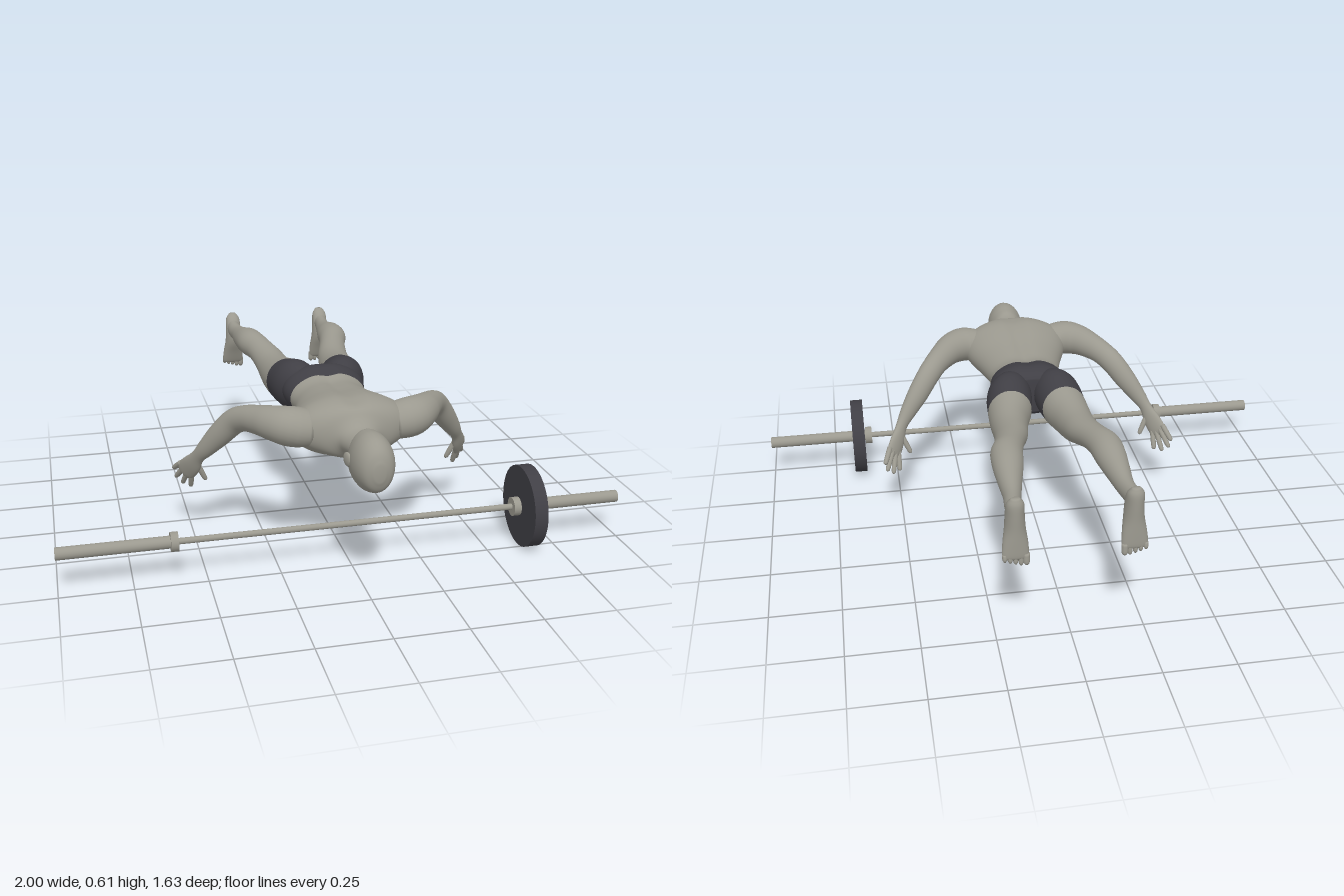
import * as THREE from 'three';

const V = (x, y, z) => new THREE.Vector3(x, y, z);

// Smooth closed loft. Rows are [x, y, z, radiusU, radiusV]; V lies along ref.
// Without a fixed dir the rings follow the path. paint = [first, last] row in material 1.
function loft(rows, { dir, ref = V(0, 1, 0), sides = 28, steps = 4, rule, paint } = {}) {
  const path = new THREE.CatmullRomCurve3(rows.map(r => V(r[0], r[1], r[2])), false, 'catmullrom');
  const size = new THREE.CatmullRomCurve3(rows.map(r => V(r[3], r[4], 0)), false, 'catmullrom');
  const n = (rows.length - 1) * steps, pos = [], idx = [];
  const add = p => { if (rule) rule(p); pos.push(p.x, p.y, p.z); };
  for (let i = 0; i <= n; i++) {
    const c = path.getPoint(i / n), s = size.getPoint(i / n);
    const t = dir || path.getTangent(i / n);
    const u = t.clone().cross(ref).normalize(), v = u.clone().cross(t).normalize();
    for (let j = 0; j < sides; j++) {
      const a = j / sides * Math.PI * 2;
      add(c.clone().addScaledVector(u, Math.cos(a) * s.x).addScaledVector(v, Math.sin(a) * s.y));
    }
  }
  const first = (n + 1) * sides, last = first + 1;
  add(path.getPoint(0));
  add(path.getPoint(1));
  const g = new THREE.BufferGeometry();
  const fan = (c, ring, flip) => {
    for (let j = 0; j < sides; j++) {
      const a = ring + j, b = ring + (j + 1) % sides;
      idx.push(c, flip ? b : a, flip ? a : b);
    }
  };
  const mat = row => (paint && row >= paint[0] && row < paint[1] ? 1 : 0);
  for (let i = 0; i < n; i++) {
    const start = idx.length;
    if (i === 0) fan(first, 0, false);
    for (let j = 0; j < sides; j++) {
      const a = i * sides + j, b = i * sides + (j + 1) % sides;
      idx.push(a, a + sides, b, b, a + sides, b + sides);
    }
    if (i === n - 1) fan(last, n * sides, true);
    g.addGroup(start, idx.length - start, mat(Math.floor(i / steps)));
  }
  g.setAttribute('position', new THREE.Float32BufferAttribute(pos, 3));
  g.setIndex(idx);
  g.computeVertexNormals();
  return g;
}

export function createModel() {
  const skin = new THREE.MeshStandardMaterial({ color: 0x9b998f });
  const dark = new THREE.MeshStandardMaterial({ color: 0x403f45 });
  skin.name = 'stoneGrey';
  dark.name = 'charcoal';
  const model = new THREE.Group();
  const add = (name, geo, mat = [skin, dark], parent = model) => {
    const m = new THREE.Mesh(geo, mat);
    m.name = name;
    parent.add(m);
    return m;
  };
  const back = V(0, 0, -1), down = V(0, -1, 0);

  // Torso, from neck to seat, with a spine furrow and a breastbone furrow
  add('torsoAndShorts', loft([
    [0, .495, .65, .05, .045], [0, .495, .60, .062, .05], [0, .50, .57, .08, .066],
    [0, .508, .545, .135, .087], [0, .512, .51, .185, .098], [0, .508, .46, .205, .108],
    [0, .503, .40, .19, .107], [0, .498, .32, .162, .098], [0, .496, .24, .14, .09],
    [0, .497, .19, .133, .086], [0, .502, .145, .138, .088], [0, .507, .08, .15, .096],
    [0, .505, .03, .14, .085], [0, .505, .01, .10, .065],
  ], {
    dir: back, sides: 48, paint: [10, 13],
    rule: p => {
      const furrow = Math.exp(-((p.x / .03) ** 2));
      const along = THREE.MathUtils.smoothstep(p.z, -.02, .2) * (1 - THREE.MathUtils.smoothstep(p.z, .48, .58));
      if (p.y > .52) p.y -= .014 * furrow * along;
      if (p.y < .46) p.y += .008 * furrow * along;
    },
  }));

  // Head, face down
  add('head', loft([
    [0, .475, .818, .018, .028], [0, .476, .802, .046, .066], [0, .48, .77, .063, .088],
    [0, .479, .73, .07, .098], [0, .476, .69, .068, .098], [0, .467, .65, .06, .094],
    [0, .445, .622, .045, .06], [0, .435, .608, .028, .036],
  ], {
    dir: back,
    // shallow eye sockets
    rule: p => {
      const d = ((Math.abs(p.x) - .027) / .014) ** 2 + ((p.z - .705) / .012) ** 2;
      if (p.y < .45) p.y += .012 * Math.exp(-d);
    },
  }));
  const blob = (name, x, y, z, sx, sy, sz, parent) => {
    const m = add(name, new THREE.SphereGeometry(1, 16, 10), skin, parent);
    m.position.set(x, y, z);
    m.scale.set(sx, sy, sz);
    return m;
  };
  blob('nose', 0, .384, .682, .012, .014, .022);
  blob('lips', 0, .379, .65, .022, .009, .009);
  blob('chin', 0, .39, .627, .025, .014, .016);

  for (const s of [1, -1]) {
    const side = s > 0 ? 'left' : 'right';
    const flip = rows => rows.map(([x, ...r]) => [x * s, ...r]);

    blob(side + 'Ear', .071 * s, .482, .693, .009, .024, .025).rotation.y = -.25 * s;

    // Leg, dark over the thigh
    add(side + 'Leg', loft(flip([
      [.075, .505, .085, .06, .075], [.088, .507, .01, .083, .096], [.1, .497, -.085, .08, .085],
      [.113, .492, -.16, .069, .076], [.12, .497, -.23, .062, .066], [.128, .513, -.3, .058, .055],
      [.147, .531, -.38, .052, .049], [.166, .538, -.45, .055, .052], [.172, .533, -.52, .052, .052],
      [.178, .522, -.6, .041, .044], [.183, .514, -.68, .03, .036], [.19, .515, -.74, .027, .034],
      [.19, .52, -.785, .025, .034],
    ]), { dir: back, paint: [0, 2] }));

    // Foot, toes pointing down
    add(side + 'Foot', loft(flip([
      [.19, .575, -.795, .014, .01], [.19, .552, -.788, .028, .026], [.19, .51, -.777, .031, .038],
      [.19, .46, -.778, .034, .036], [.191, .41, -.79, .041, .025], [.192, .37, -.799, .043, .016],
      [.192, .358, -.801, .038, .01],
    ]), { dir: down, ref: V(0, 0, 1) }));
    for (let i = 0; i < 5; i++) {
      const x = .158 + i * .0172, r = i === 0 ? .011 : .008, tip = .336 + Math.max(0, i - 1) * .005;
      add(side + 'Toe', loft(flip([
        [x, .375, -.803, r, r], [x, tip + .01, -.806, r, r], [x, tip, -.807, r * .5, r * .5],
      ]), { dir: down, ref: V(0, 0, 1), sides: 10 }));
    }

    // Arm and palm in one sweep
    const palmNormal = V(-.76 * s, .24, -.6);
    add(side + 'Arm', loft(flip([
      [.14, .515, .475, .06, .065], [.205, .524, .472, .066, .07], [.255, .526, .435, .06, .06],
      [.293, .522, .385, .052, .05], [.33, .512, .33, .046, .043], [.365, .487, .283, .045, .04],
      [.41, .43, .245, .042, .037], [.455, .37, .212, .032, .027], [.482, .33, .185, .025, .018],
      [.50, .29, .155, .036, .016], [.518, .257, .122, .038, .013], [.526, .242, .11, .028, .009],
    ]), { ref: palmNormal }));

    // Fingers fan out from the palm edge; the last one is the thumb
    const fingers = [
      [.538, .274, .1, .557, .24, .055], [.526, .261, .11, .551, .207, .06],
      [.514, .248, .119, .528, .186, .073], [.502, .236, .129, .502, .182, .1],
      [.484, .294, .17, .453, .225, .155],
    ];
    for (const [x, y, z, X, Y, Z] of fingers) {
      const at = (k, r) => [x + (X - x) * k, y + (Y - y) * k, z + (Z - z) * k, r, r];
      add(side + 'Finger', loft(flip([at(-.2, .01), at(.45, .01), at(.88, .0085), at(1, .004)]),
        { ref: palmNormal, sides: 10 }));
    }
  }

  // Barbell, carrying one plate on the left
  const barbell = new THREE.Group();
  barbell.name = 'barbell';
  barbell.position.set(0, .147, .47);
  model.add(barbell);
  const rod = (name, x0, x1, r, mat, sides = 20) => {
    const m = add(name, new THREE.CylinderGeometry(r, r, x1 - x0, sides), mat, barbell);
    m.rotation.z = Math.PI / 2;
    m.position.x = (x0 + x1) / 2;
  };
  rod('bar', -.6, .6, .011, skin);
  for (const s of [1, -1]) {
    rod('collar', s * .608 - .013, s * .608 + .013, .034, skin);
    rod('sleeve', s * .81 - .19, s * .81 + .19, .022, skin);
  }
  rod('weightPlate', .624, .672, .147, dark, 56);

  return model;
}
